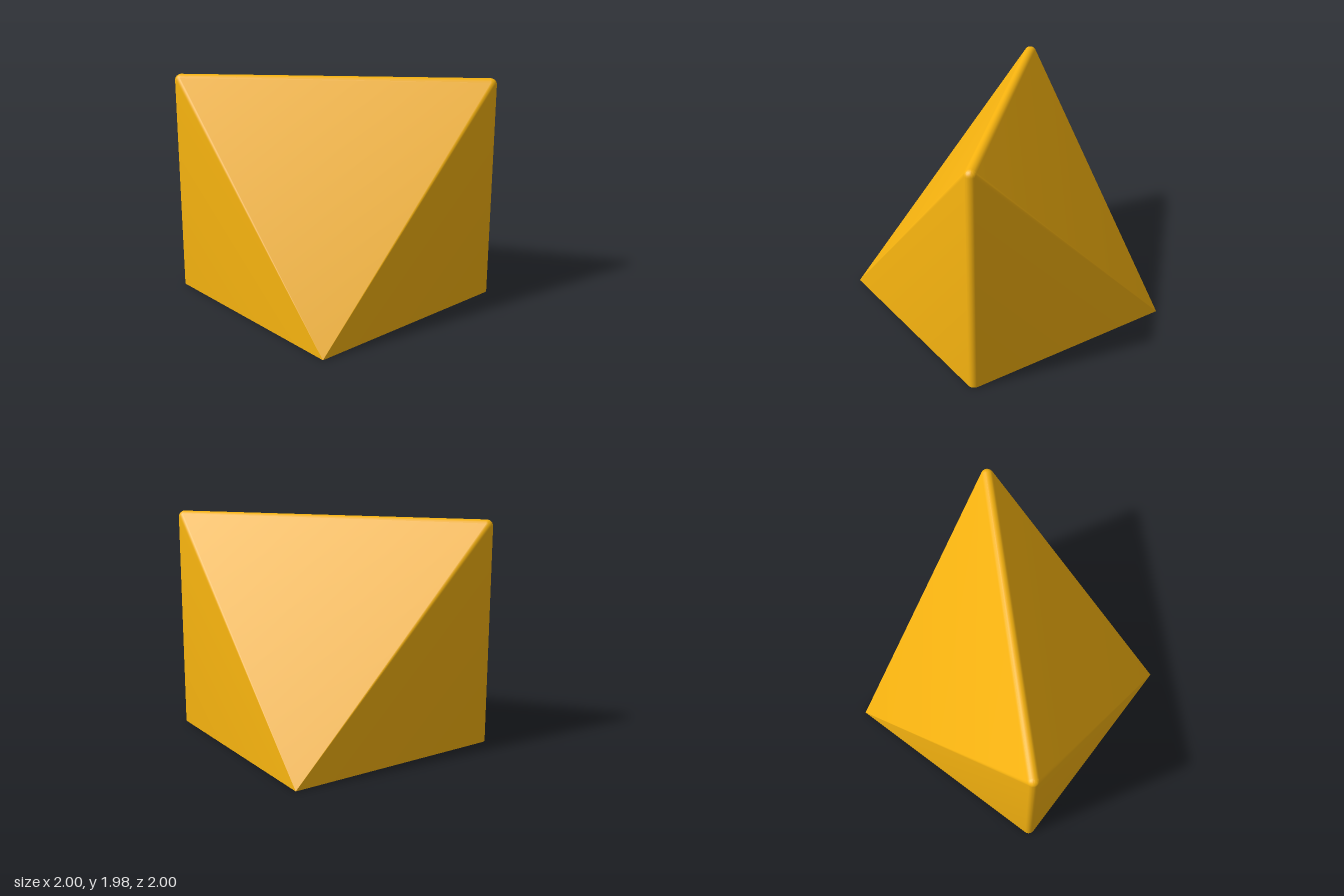
import * as THREE from 'three';
import { ConvexGeometry } from 'three/addons/geometries/ConvexGeometry.js';
import { toCreasedNormals } from 'three/addons/utils/BufferGeometryUtils.js';

const R = 0.055;      // edge rounding
const INNER = 0.914;  // half width of the cavity
const CEILING = 1.83; // cavity height under the ridge
const v = (x, y, z) => new THREE.Vector3(x, y, z);

// Convex hull with its floor removed; optionally turned inside out
function openHull(points, inward) {
  const p = new ConvexGeometry(points).getAttribute('position');
  const out = [];
  for (let i = 0; i < p.count; i += 3) {
    if (Math.max(p.getY(i), p.getY(i + 1), p.getY(i + 2)) < 1e-4) continue;
    for (const k of inward ? [0, 2, 1] : [0, 1, 2]) out.push(p.getX(i + k), p.getY(i + k), p.getZ(i + k));
  }
  const g = new THREE.BufferGeometry();
  g.setAttribute('position', new THREE.Float32BufferAttribute(out, 3));
  g.computeVertexNormals();
  return g;
}

// Points on a ball, kept above the floor
function ball(cx, cy, cz) {
  const pts = [];
  for (let i = 0; i <= 12; i++) {
    const lat = -Math.PI / 2 + (Math.PI * i) / 12;
    const n = i % 12 ? 32 : 1;
    for (let j = 0; j < n; j++) {
      const a = (j / n) * Math.PI * 2, c = R * Math.cos(lat);
      const y = cy + R * Math.sin(lat);
      if (y > 0) pts.push(v(cx + c * Math.cos(a), y, cz + c * Math.sin(a)));
    }
  }
  return pts;
}

// Tube standing on the floor, with its top cut to meet the sloped ceiling
function tubeGeometry(x, z) {
  const outer = 0.2, inner = 0.162;
  const profile = [[inner, 1], [inner, 0], [outer, 0], [outer, 1]].map(([r, y]) => new THREE.Vector2(r, y));
  const g = new THREE.LatheGeometry(profile, 32);
  g.translate(x, 0, z);
  const p = g.getAttribute('position');
  for (let i = 0; i < p.count; i++) {
    if (p.getY(i) > 0.5) p.setY(i, CEILING + 0.03 - Math.abs(p.getX(i) - p.getZ(i)));
  }
  return toCreasedNormals(g, 0.5);
}

export function createModel() {
  const group = new THREE.Group();
  const material = new THREE.MeshStandardMaterial({ color: 0xf5b20f });
  const add = (name, geometry, mat = material) => {
    const mesh = new THREE.Mesh(geometry, mat);
    mesh.name = name;
    group.add(mesh);
  };

  // Outer shell: square base rising to a diagonal ridge between two corners
  const c = 1 - R, pts = [];
  for (const s of [-1, 1]) {
    pts.push(...ball(s * c, 1.98 - R, s * c));
    for (let j = 0; j < 32; j++) {
      const a = (j / 32) * Math.PI * 2;
      pts.push(v(s * c + R * Math.cos(a), 0, s * c + R * Math.sin(a)));
    }
    pts.push(...ball(s * c, 0.015, -s * c), v(s, 0, -s));
  }
  add('outerShell', toCreasedNormals(openHull(pts, false), 0.4));

  // Cavity: the same form, smaller and sharp edged
  const h = INNER, cavity = [];
  for (const s of [-1, 1]) cavity.push(v(s * h, 0, s * h), v(s * h, CEILING, s * h), v(s * h, 0, -s * h));
  add('cavity', openHull(cavity, true));

  // Flat rim around the open underside
  const rim = new THREE.Shape();
  rim.moveTo(1, -1);
  rim.lineTo(1, c);
  rim.absarc(c, c, R, 0, Math.PI / 2);
  rim.lineTo(-1, 1);
  rim.lineTo(-1, -c);
  rim.absarc(-c, -c, R, Math.PI, Math.PI * 1.5);
  rim.closePath();
  rim.holes.push(new THREE.Path([[-h, -h], [-h, h], [h, h], [h, -h]].map(([x, y]) => new THREE.Vector2(x, y))));
  add('bottomRim', new THREE.ShapeGeometry(rim, 8).rotateX(Math.PI / 2));

  // Four inner tubes
  const tubeMaterial = material.clone();
  tubeMaterial.side = THREE.DoubleSide;
  for (const x of [-0.5, 0.5]) for (const z of [-0.5, 0.5]) add('innerTube', tubeGeometry(x, z), tubeMaterial);

  return group;
}
